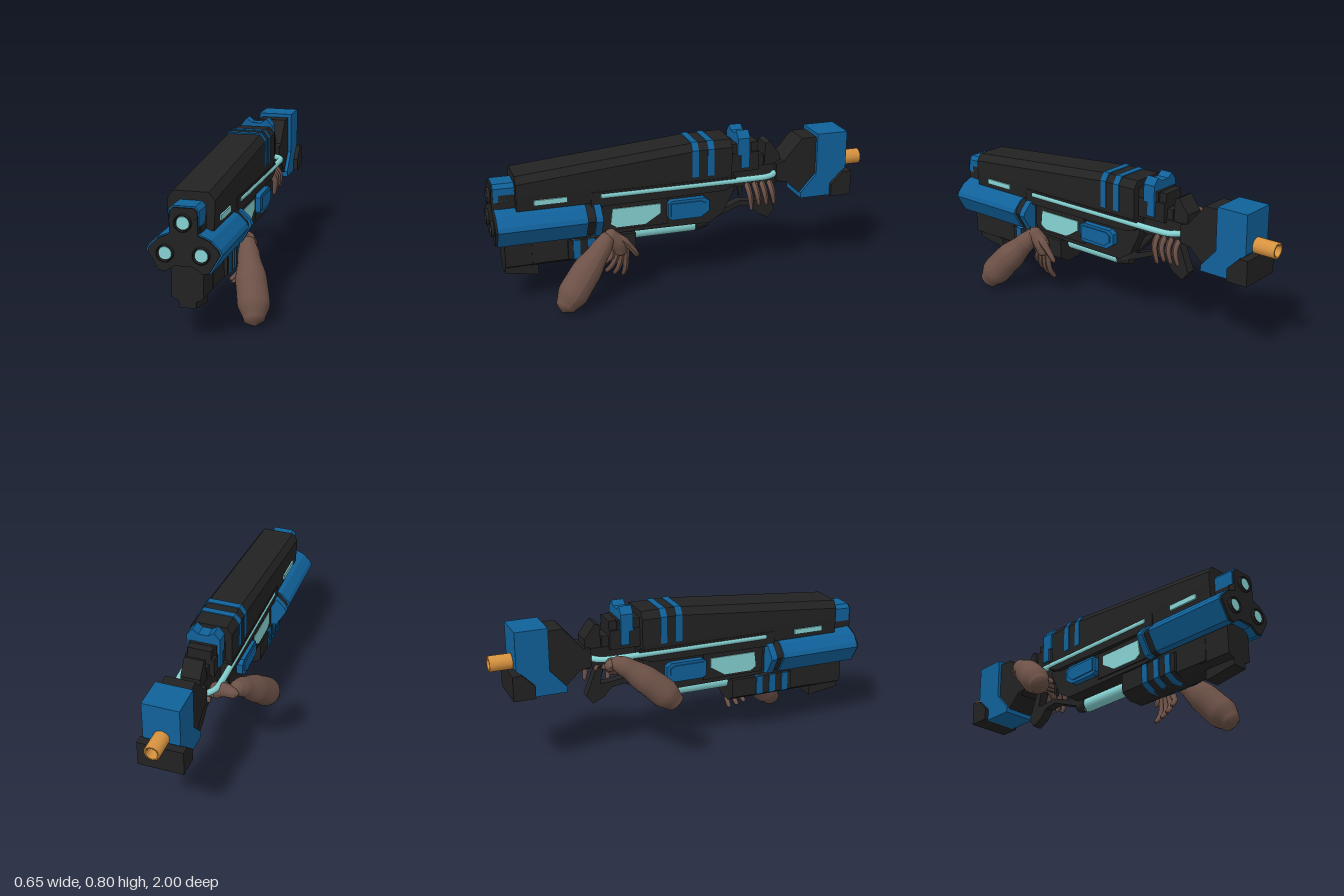
import * as THREE from 'three';

const CX = 0.02; // centre line of the weapon
const mat = (name, color, double) => {
  const m = new THREE.MeshStandardMaterial({ color });
  m.name = name;
  if (double) m.side = THREE.DoubleSide;
  return m;
};

export function createModel() {
  const root = new THREE.Group();
  const black = mat('black', 0x222222);
  const blue = mat('blue', 0x10619a);
  const cyan = mat('cyan', 0x86d2d2);
  const orange = mat('orange', 0xd6923f, true);
  const skin = mat('skin', 0x6c5147);

  const add = (name, geo, m, x = 0, y = 0, z = 0) => {
    const mesh = new THREE.Mesh(geo, m);
    mesh.name = name;
    mesh.position.set(x, y, z);
    root.add(mesh);
    return mesh;
  };
  const shapeOf = (pts) => new THREE.Shape(pts.map((p) => new THREE.Vector2(p[0], p[1])));
  const flat = { bevelEnabled: false };

  // side profile of [z, y] points, extruded across x
  const side = (name, m, pts, width, x = CX) => {
    const g = new THREE.ExtrudeGeometry(shapeOf(pts.map(([z, y]) => [-z, y])), { ...flat, depth: width });
    g.translate(0, 0, -width / 2).rotateY(Math.PI / 2);
    return add(name, g, m, x);
  };
  // front section of [x, y] points, extruded from z0 to z1
  const section = (name, m, pts, z0, z1) =>
    add(name, new THREE.ExtrudeGeometry(shapeOf(pts), { ...flat, depth: z1 - z0 }), m, CX, 0, z0);
  // right half of a section, mirrored into a closed outline
  const mirror = (half) => [...half, ...half.slice().reverse().map(([x, y]) => [-x, y])];
  const box = (name, m, z0, z1, y0, y1, w, x = CX) =>
    add(name, new THREE.BoxGeometry(w, y1 - y0, z1 - z0), m, x, (y0 + y1) / 2, (z0 + z1) / 2);
  const rod = (name, m, r0, r1, z0, z1, x, y, n = 20) =>
    add(name, new THREE.CylinderGeometry(r1, r0, z1 - z0, n).rotateX(Math.PI / 2), m, x, y, (z0 + z1) / 2);
  // organic limb: tube along a curve with its own radius at every point
  const limb = (name, pts, radii, steps = 20, sides = 14) => {
    const curve = new THREE.CatmullRomCurve3(pts.map((p) => new THREE.Vector3(...p)));
    const g = new THREE.TubeGeometry(curve, steps, 1, sides, false);
    const pos = g.attributes.position, v = new THREE.Vector3(), c = new THREE.Vector3();
    for (let i = 0; i < pos.count; i++) {
      const t = Math.floor(i / (sides + 1)) / steps;
      // uniform parameter matching the arc length position
      const f = curve.getUtoTmapping(t) * (radii.length - 1), k = Math.min(Math.floor(f), radii.length - 2);
      const s = f - k, r = radii[k] + (radii[k + 1] - radii[k]) * s * s * (3 - 2 * s);
      curve.getPointAt(t, c);
      v.fromBufferAttribute(pos, i).sub(c).multiplyScalar(r).add(c);
      pos.setXYZ(i, v.x, v.y, v.z);
    }
    g.computeVertexNormals();
    return add(name, g, skin);
  };

  // upper housing: flat at the back, sloping down to the front
  const hull = mirror([[0.105, 0.52], [0.11, 0.6], [0.11, 0.738], [0.083, 0.775]]);
  section('upperHousingRear', black, hull, -0.24, -0.05);
  const slope = section('upperHousingFront', black, hull, -0.05, 0.87).geometry;
  const sp = slope.attributes.position;
  for (let i = 0; i < sp.count; i++) {
    if (sp.getY(i) > 0.65) sp.setY(i, sp.getY(i) - 0.08 * sp.getZ(i) / 0.92);
  }
  slope.computeVertexNormals();
  const band = mirror([[0.113, 0.6], [0.113, 0.74], [0.085, 0.779]]);
  for (const z of [-0.06, -0.143]) section('housingStripe', blue, band, z, z + 0.034);

  // middle body
  side('middleBody', black, [[0.55, 0.36], [0.42, 0.34], [-0.13, 0.335], [-0.2, 0.38], [-0.26, 0.5], [-0.26, 0.58], [0.55, 0.58]], 0.18);
  side('bodyShoulder', black, [[0.5, 0.5], [-0.2, 0.51], [-0.26, 0.535], [-0.26, 0.578], [0.5, 0.578]], 0.226);
  box('frontCore', black, 0.5, 0.95, 0.4, 0.6, 0.14);

  // side panels, pods and glowing strips
  for (const s of [1, -1]) {
    const x = CX + s * 0.09;
    side('panelFrame', black, [[0.44, 0.36], [0.1, 0.36], [0.1, 0.5], [0.44, 0.5]], 0.014, x);
    side('glowPanel', cyan, [[0.4, 0.395], [0.37, 0.375], [0.22, 0.375], [0.14, 0.425], [0.14, 0.475], [0.39, 0.475]], 0.008, x + s * 0.008);
    side('sidePod', blue, [[0.105, 0.4], [0.085, 0.385], [-0.07, 0.385], [-0.115, 0.415], [-0.115, 0.47], [-0.09, 0.488], [0.085, 0.488], [0.105, 0.475]], 0.04, x + s * 0.012);
    side('sidePodFace', blue, [[0.09, 0.405], [-0.06, 0.4], [-0.095, 0.425], [-0.095, 0.46], [-0.07, 0.474], [0.09, 0.474]], 0.016, x + s * 0.03);
    box('shortGlowStrip', cyan, 0.62, 0.785, 0.545, 0.572, 0.016, CX + s * 0.108);
  }

  // long glowing rail bent round the back
  const railPts = [[0.095, 0.45], [0.095, 0.2], [0.095, -0.1], [0.095, -0.38], [0.09, -0.44], [0.06, -0.488], [0, -0.497]];
  const rail = [...railPts, ...railPts.slice(0, -1).reverse().map(([x, z]) => [-x, z])]
    .map(([x, z]) => new THREE.Vector3(CX + x * 1.08, 0.555, z));
  add('glowRail', new THREE.TubeGeometry(new THREE.CatmullRomCurve3(rail), 80, 0.016, 10), cyan);
  for (const s of [1, -1]) rod('railEnd', cyan, 0.016, 0.004, 0.45, 0.455, CX + s * 0.1026, 0.555, 10);

  // three barrel cluster
  const lobes = [[0, 0.39], [0.045, 0.38], [0.09, 0.348], [0.122, 0.354], [0.175, 0.445], [0.165, 0.468], [0.125, 0.508], [0.07, 0.53]];
  const grow = (k) => mirror(lobes.slice(1).map(([x, y]) => [x * k, 0.44 + (y - 0.44) * k]));
  section('barrelShroud', blue, grow(1), 0.53, 0.975);
  section('shroudFrontCap', black, grow(0.95), 0.97, 0.985);
  section('shroudCollar', black, grow(0.94), 0.48, 0.54);
  section('shroudRing', blue, grow(1.02), 0.455, 0.49);
  box('barrelBridge', black, 0.86, 0.985, 0.49, 0.6, 0.13);
  section('topBarrelBlock', blue, mirror([[0.07, 0.565], [0.07, 0.635], [0.052, 0.655]]), 0.86, 0.975);
  section('topBarrelCap', black, mirror([[0.064, 0.53], [0.064, 0.632], [0.048, 0.648]]), 0.95, 0.984);
  for (const [x, y] of [[CX, 0.582], [CX - 0.083, 0.44], [CX + 0.083, 0.44]]) {
    add('muzzleRing', new THREE.LatheGeometry(
      [[0.034, 0.97], [0.04, 0.97], [0.04, 0.998], [0.034, 1], [0.034, 0.985]].map((p) => new THREE.Vector2(...p)), 20)
      .rotateX(Math.PI / 2), black, x, y, 0);
    rod('muzzleGlow', cyan, 0.034, 0.03, 0.97, 0.994, x, y);
  }

  // underside: keel, foregrip and glowing cell
  section('keel', black, mirror([[0.04, 0.39], [0.075, 0.365], [0.08, 0.225], [0.04, 0.2]]), 0.5, 0.8);
  section('keelNose', black, mirror([[0.0001, 0.4], [0.075, 0.36], [0.075, 0.22], [0.0001, 0.18]]), 0.76, 0.935);
  side('keelFin', black, [[0.935, 0.3], [0.935, 0.172], [0.765, 0.147], [0.765, 0.3]], 0.08);
  const grip = mirror([[0.1, 0.33], [0.1, 0.23], [0.045, 0.2]]);
  section('foregrip', black, grip.map(([x, y]) => [x * 0.94, y]), 0.27, 0.62);
  for (const z of [0.56, 0.485, 0.41]) section('foregripStripe', blue, grip, z, z + 0.035);
  rod('glowCell', cyan, 0.036, 0.036, -0.08, 0.28, CX, 0.3, 24);
  rod('cellEndCap', black, 0.026, 0.042, -0.14, -0.07, CX, 0.305, 16);

  // trigger, guard lever and pistol grip
  side('guardLever', black, [[-0.1, 0.36], [-0.1, 0.315], [-0.14, 0.31], [-0.31, 0.38], [-0.38, 0.37], [-0.42, 0.325], [-0.48, 0.295],
    [-0.515, 0.34], [-0.45, 0.51], [-0.42, 0.5], [-0.44, 0.4], [-0.395, 0.4], [-0.32, 0.41], [-0.16, 0.35]], 0.05);
  side('guardStrut', black, [[-0.15, 0.35], [-0.18, 0.35], [-0.33, 0.52], [-0.29, 0.52]], 0.05);
  side('trigger', black, [[-0.3, 0.53], [-0.325, 0.53], [-0.335, 0.45], [-0.318, 0.43], [-0.315, 0.46]], 0.02);

  // rear receiver, sight and hammer
  box('receiverRear', black, -0.56, -0.24, 0.5, 0.605, 0.11);
  box('receiverTop', black, -0.4, -0.23, 0.59, 0.69, 0.15);
  box('receiverTopBlue', blue, -0.345, -0.3, 0.61, 0.68, 0.17);
  box('receiverStep', black, -0.4, -0.345, 0.6, 0.738, 0.12);
  box('receiverRearStep', black, -0.435, -0.395, 0.59, 0.66, 0.1);
  section('rearSight', blue, mirror([[0.085, 0.68], [0.085, 0.77], [0.055, 0.807], [0.025, 0.785]]), -0.345, -0.28);
  box('sightBase', black, -0.36, -0.24, 0.67, 0.74, 0.14);
  side('hammer', black, [[-0.44, 0.6], [-0.445, 0.72], [-0.47, 0.73], [-0.525, 0.655], [-0.525, 0.6]], 0.1);

  // stock
  side('stockNeck', black, [[-0.5, 0.515], [-0.56, 0.505], [-0.64, 0.43], [-0.75, 0.43], [-0.75, 0.735], [-0.64, 0.735], [-0.54, 0.62], [-0.5, 0.61]], 0.15);
  side('stockShell', blue, [[-0.72, 0.755], [-0.72, 0.535], [-0.635, 0.44], [-0.635, 0.41], [-0.805, 0.41], [-0.805, 0.475], [-0.887, 0.556], [-0.887, 0.755]], 0.185);
  side('buttPlate', black, [[-0.8, 0.41], [-0.8, 0.475], [-0.865, 0.54], [-0.912, 0.54], [-0.912, 0.41]], 0.23);
  add('rearPipe', new THREE.LatheGeometry(
    [[0.026, -0.88], [0.026, -1], [0.04, -1], [0.04, -0.88]].map((p) => new THREE.Vector2(...p)), 20)
    .rotateX(Math.PI / 2), orange, CX, 0.58, 0);

  // front arm: forearm, palm, four fingers and thumb
  limb('frontForearm', [[0.27, 0.02, 0.695], [0.262, 0.04, 0.68], [0.245, 0.105, 0.63], [0.215, 0.19, 0.56], [0.18, 0.285, 0.475], [0.16, 0.345, 0.425], [0.155, 0.375, 0.405]],
    [0, 0.05, 0.078, 0.076, 0.054, 0.038, 0.0], 36, 20);
  limb('frontPalm', [[0.165, 0.385, 0.44], [0.16, 0.36, 0.42], [0.155, 0.305, 0.375], [0.15, 0.255, 0.36], [0.145, 0.23, 0.355]], [0, 0.034, 0.042, 0.034, 0]);
  [[0.09, 0.1, 0.335], [0.085, 0.11, 0.38], [0.08, 0.125, 0.42], [0.08, 0.15, 0.455]].forEach(([x, y, z], i) => {
    const rz = 0.33 + i * 0.025;
    limb('frontFinger', [[0.15, 0.28, rz], [0.15, 0.235, rz + 0.002], [0.135, y + 0.055, (z + rz) / 2], [x, y, z], [x - 0.006, y, z]], [0.014, 0.016, 0.014, 0.011, 0], 14, 10);
  });
  limb('frontThumb', [[0.16, 0.36, 0.4], [0.168, 0.32, 0.35], [0.168, 0.27, 0.305], [0.162, 0.225, 0.275], [0.162, 0.218, 0.27]], [0.012, 0.022, 0.016, 0.012, 0], 14, 10);

  // rear arm: forearm, palm, fingers over the far side of the grip and thumb
  limb('rearForearm', [[-0.265, 0.325, -0.12], [-0.262, 0.345, -0.135], [-0.25, 0.4, -0.19], [-0.225, 0.47, -0.27], [-0.19, 0.545, -0.37], [-0.172, 0.57, -0.42], [-0.165, 0.575, -0.44]],
    [0, 0.05, 0.074, 0.07, 0.05, 0.036, 0], 36, 20);
  limb('rearPalm', [[-0.2, 0.56, -0.45], [-0.17, 0.555, -0.44], [-0.11, 0.535, -0.41], [-0.055, 0.5, -0.385], [-0.02, 0.47, -0.38]], [0, 0.03, 0.036, 0.042, 0]);
  for (let i = 0; i < 4; i++) {
    const z = -0.345 - i * 0.042, d = i === 0 ? -0.02 : 0;
    limb('rearFinger', [[-0.06, 0.5, z + 0.01], [0, 0.5, z], [0.07, 0.505, z], [0.105, 0.465, z - 0.005], [0.1, 0.395 + d, z - 0.02], [0.095, 0.385 + d, z - 0.022]],
      [0.016, 0.017, 0.016, 0.015, 0.011, 0], 18, 10);
  }
  limb('rearThumb', [[-0.12, 0.54, -0.41], [-0.09, 0.525, -0.36], [-0.065, 0.5, -0.31], [-0.05, 0.48, -0.275], [-0.048, 0.477, -0.27]], [0.012, 0.022, 0.016, 0.012, 0], 14, 10);

  return root;
}
